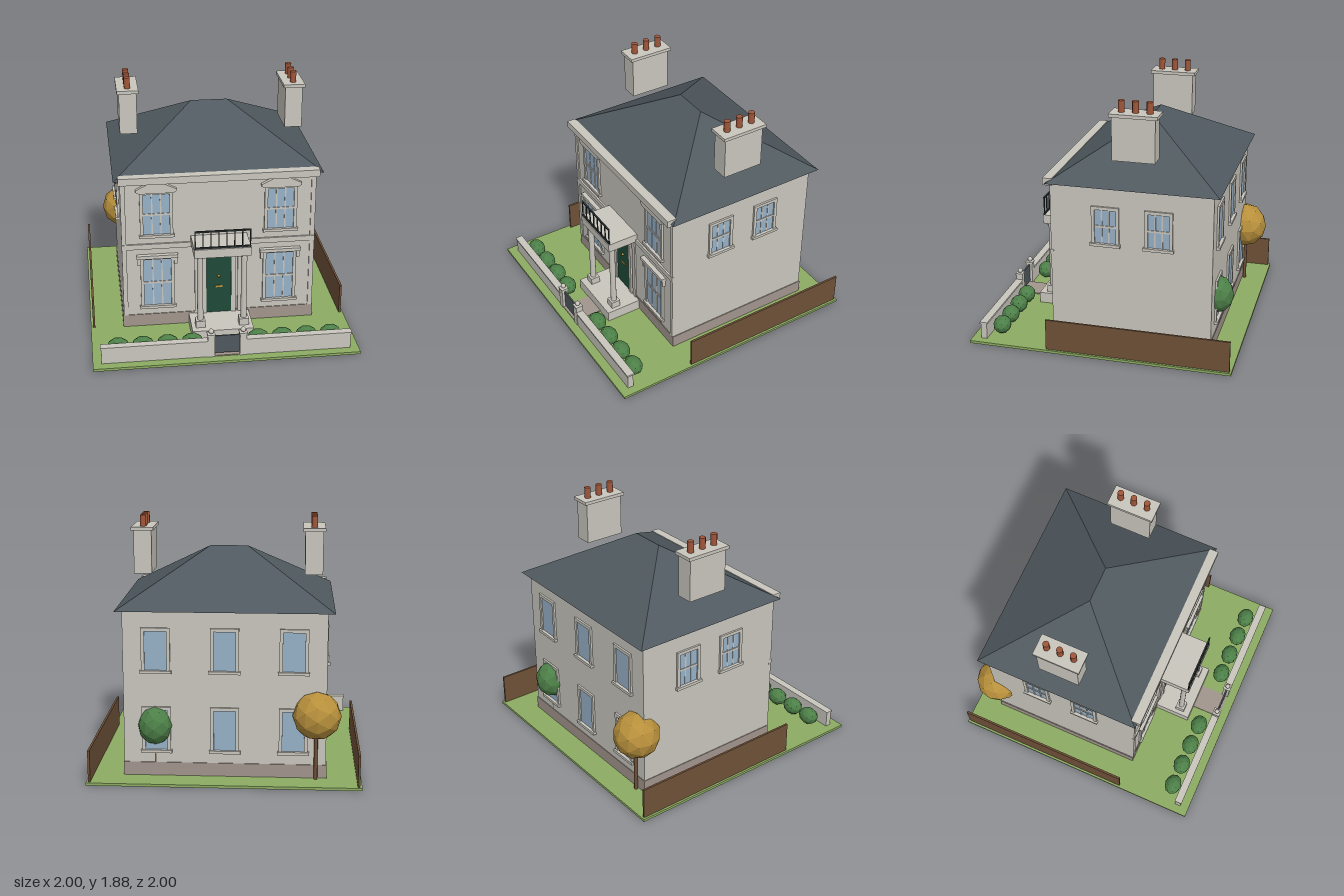
import * as THREE from 'three';
import { ConvexGeometry } from 'three/addons/geometries/ConvexGeometry.js';

const COLORS = {
  stone: 0xc9c6bd, plinth: 0xa2968d, slate: 0x4f595f, glass: 0x97b1c8, door: 0x1f4a3a,
  iron: 0x2a3132, brick: 0xa2573a, wood: 0x6f5138, green: 0x4d8048, grass: 0x8cac62,
};

export function createModel() {
  const house = new THREE.Group();
  house.name = 'house';
  const M = {};
  for (const [name, color] of Object.entries(COLORS)) {
    M[name] = new THREE.MeshStandardMaterial({ color });
    M[name].name = name;
  }
  M.gold = new THREE.MeshStandardMaterial({ color: 0xb8903c });
  M.gold.name = 'gold';
  // gold serves the autumn tree and door fittings; the plinth colour also paves the path
  delete M.unused;

  const add = (name, geo, mat, parent = house) => {
    const mesh = new THREE.Mesh(geo, mat);
    mesh.name = name;
    parent.add(mesh);
    return mesh;
  };
  // box given by its min and max on each axis
  const box = (name, mat, x0, x1, y0, y1, z0, z1, parent = house) => {
    const mesh = add(name, new THREE.BoxGeometry(x1 - x0, y1 - y0, z1 - z0), mat, parent);
    mesh.position.set((x0 + x1) / 2, (y0 + y1) / 2, (z0 + z1) / 2);
    return mesh;
  };
  const cylinder = (name, mat, r, x, y0, y1, z, sides = 12) => {
    const mesh = add(name, new THREE.CylinderGeometry(r, r, y1 - y0, sides), mat);
    mesh.position.set(x, (y0 + y1) / 2, z);
    return mesh;
  };
  const foliage = (name, mat, x, y, z, rx, ry, rz) => {
    const geo = new THREE.IcosahedronGeometry(1, 1);
    geo.scale(rx, ry, rz);
    geo.computeVertexNormals();
    add(name, geo, mat).position.set(x, y, z);
  };

  // Window facing +z, glass of w by h with its lower edge at the origin
  const addWindow = (name, { w, h, bars = true, head = 'plain' }, x, y, z, turn = 0) => {
    const g = new THREE.Group();
    g.name = name;
    const a = w / 2, f = 0.025;
    box('glass', M.glass, -a, a, 0, h, -0.005, 0.004, g);
    for (const s of [-1, 1]) {
      const e = s * (a + f / 2);
      box('jamb', M.stone, e - f / 2, e + f / 2, 0, h + f, 0, 0.015, g);
    }
    box('lintel', M.stone, -a, a, h, h + f, 0, 0.015, g);
    box('sill', M.stone, -a - 0.035, a + 0.035, -0.022, 0, 0, 0.028, g);
    if (bars) {
      for (const s of [-1, 1]) box('glazingBar', M.stone, s * w / 6 - 0.005, s * w / 6 + 0.005, 0, h, 0, 0.008, g);
      box('meetingRail', M.stone, -a, a, h / 2 - 0.008, h / 2 + 0.008, 0, 0.01, g);
    }
    if (head === 'hood') {
      box('hood', M.stone, -a - 0.053, a + 0.053, h + 0.015, h + 0.042, 0, 0.035, g);
      for (const s of [-1, 1]) {
        const e = s * (a + 0.035);
        box('bracket', M.stone, e - 0.012, e + 0.012, h - 0.04, h + 0.015, 0, 0.025, g);
      }
    }
    if (head === 'pediment') {
      const p = a + 0.053, t = new THREE.Shape();
      t.moveTo(-p, h + 0.03);
      t.lineTo(-a - 0.03, h + 0.015);
      t.lineTo(a + 0.03, h + 0.015);
      t.lineTo(p, h + 0.03);
      t.lineTo(p, h + 0.045);
      t.lineTo(0, h + 0.12);
      t.lineTo(-p, h + 0.045);
      add('pediment', new THREE.ExtrudeGeometry(t, { depth: 0.03, bevelEnabled: false }), M.stone, g);
    }
    g.position.set(x, y, z);
    g.rotation.y = turn;
    house.add(g);
  };

  // Plot, path and porch step
  box('lawn', M.grass, -1, 1, 0, 0.02, -1, 1);
  box('path', M.plinth, -0.1, 0.1, 0.01, 0.028, 0.69, 0.93);
  box('porchStep', M.stone, -0.235, 0.235, 0.02, 0.105, 0.4, 0.7);

  // Walls, plinth and front mouldings
  box('walls', M.stone, -0.74, 0.74, 0.02, 1.255, -0.8, 0.41);
  box('plinth', M.plinth, -0.746, 0.746, 0.02, 0.12, -0.806, 0.416);
  for (const s of [-1, 1]) box('cornerStrip', M.stone, s * 0.7225 - 0.0175, s * 0.7225 + 0.0175, 0.12, 1.235, 0.4, 0.42);
  box('stringCourse', M.stone, -0.742, 0.742, 0.685, 0.727, 0.4, 0.424);
  box('cornice', M.stone, -0.755, 0.755, 1.235, 1.29, 0.4, 0.47);

  // Hipped roof
  const roof = [[-0.14, 1.645, -0.205], [0.14, 1.645, -0.205]];
  for (const x of [-0.79, 0.79]) for (const z of [-0.85, 0.445]) roof.push([x, 1.258, z]);
  add('roof', new ConvexGeometry(roof.map(p => new THREE.Vector3(...p))), M.slate);

  // Chimneys
  for (const s of [-1, 1]) {
    const x = s * 0.64;
    box('chimneyStack', M.stone, x - 0.067, x + 0.067, 1.45, 1.775, -0.36, -0.04);
    box('chimneyCap', M.stone, x - 0.083, x + 0.083, 1.775, 1.8, -0.38, -0.02);
    for (const z of [-0.095, -0.2, -0.305]) cylinder('chimneyPot', M.brick, 0.024, x, 1.8, 1.885, z, 10);
  }

  // Windows on all four sides
  for (const s of [-1, 1]) {
    addWindow('frontLowerWindow', { w: 0.21, h: 0.395, head: 'hood' }, s * 0.473, 0.2, 0.41);
    addWindow('frontUpperWindow', { w: 0.2, h: 0.33, head: 'pediment' }, s * 0.473, 0.805, 0.41);
    for (const z of [0, -0.4]) addWindow('sideWindow', { w: 0.16, h: 0.26 }, s * 0.74, 0.82, z, s * Math.PI / 2);
  }
  for (const x of [-0.5, 0, 0.5]) {
    addWindow('backUpperWindow', { w: 0.16, h: 0.29, bars: false }, x, 0.82, -0.8, Math.PI);
    addWindow('backLowerWindow', { w: 0.16, h: 0.3, bars: false }, x, 0.22, -0.8, Math.PI);
  }

  // Front door with fanlight and fittings
  box('frontDoor', M.door, -0.097, 0.097, 0.105, 0.585, 0.405, 0.418);
  box('letterPlate', M.gold, -0.028, 0.028, 0.324, 0.34, 0.416, 0.424);
  const knob = add('doorKnob', new THREE.SphereGeometry(0.011, 10, 8), M.gold);
  knob.position.set(0, 0.423, 0.424);
  for (const s of [-1, 1]) box('doorCase', M.stone, s * 0.114 - 0.017, s * 0.114 + 0.017, 0.105, 0.595, 0.4, 0.428);
  const fan = add('fanlight', new THREE.CircleGeometry(0.098, 24, 0, Math.PI), M.glass);
  fan.position.set(0, 0.59, 0.414);
  const arch = add('fanlightArch', new THREE.TorusGeometry(0.102, 0.007, 6, 24, Math.PI), M.stone);
  arch.position.set(0, 0.59, 0.412);
  box('transom', M.stone, -0.097, 0.097, 0.583, 0.597, 0.4, 0.422);
  for (let i = 1; i < 4; i++) {
    const t = i * Math.PI / 4;
    const bar = add('fanlightBar', new THREE.BoxGeometry(0.098, 0.008, 0.008), M.stone);
    bar.position.set(Math.cos(t) * 0.049, 0.59 + Math.sin(t) * 0.049, 0.415);
    bar.rotation.z = t;
  }

  // Porch columns, wall pilasters, canopy and balcony railing
  for (const s of [-1, 1]) {
    const x = s * 0.167;
    box('columnBase', M.stone, x - 0.037, x + 0.037, 0.105, 0.16, 0.573, 0.647);
    cylinder('column', M.stone, 0.023, x, 0.16, 0.69, 0.61, 14);
    box('columnCapital', M.stone, x - 0.028, x + 0.028, 0.69, 0.705, 0.582, 0.638);
    box('porchPilaster', M.stone, x - 0.02, x + 0.02, 0.105, 0.705, 0.4, 0.422);
  }
  box('canopy', M.stone, -0.215, 0.215, 0.705, 0.775, 0.4, 0.662);
  for (let i = 0; i < 8; i++) {
    const x = -0.207 + i * 0.0591;
    box('baluster', M.iron, x - 0.004, x + 0.004, 0.775, 0.915, 0.648, 0.656);
  }
  for (const y of [0.785, 0.918]) box('balconyRail', M.iron, -0.211, 0.211, y - 0.006, y + 0.006, 0.646, 0.658);

  // Garden wall, gate piers, hedge balls and fences
  for (const s of [-1, 1]) {
    const mid = s * 0.54;
    box('gardenWall', M.stone, mid - 0.395, mid + 0.395, 0.01, 0.14, 0.885, 0.93);
    box('wallCoping', M.stone, mid - 0.402, mid + 0.402, 0.14, 0.155, 0.878, 0.937);
    const px = s * 0.12;
    box('gatePier', M.stone, px - 0.026, px + 0.026, 0.02, 0.195, 0.882, 0.934);
    box('pierCap', M.stone, px - 0.03, px + 0.03, 0.195, 0.207, 0.878, 0.938);
    const ball = add('pierBall', new THREE.SphereGeometry(0.02, 10, 8), M.stone);
    ball.position.set(px, 0.225, 0.908);
    for (const x of [0.25, 0.435, 0.62, 0.805]) foliage('hedgeBush', M.green, s * x, 0.087, 0.808, 0.084, 0.067, 0.068);
    box('sideFence', M.wood, s * 0.975 - 0.008, s * 0.975 + 0.008, 0.02, 0.26, -0.985, 0.4);
  }
  box('gate', M.slate, -0.093, 0.093, 0.04, 0.185, 0.902, 0.914);

  // Trees behind the house
  cylinder('treeTrunk', M.wood, 0.014, -0.665, 0.02, 0.38, -0.825, 8);
  foliage('autumnCrown', M.gold, -0.67, 0.5, -0.815, 0.178, 0.178, 0.175);
  cylinder('treeTrunk', M.wood, 0.012, 0.51, 0.02, 0.32, -0.79, 8);
  foliage('greenCrown', M.green, 0.51, 0.403, -0.8, 0.125, 0.145, 0.125);

  return house;
}
